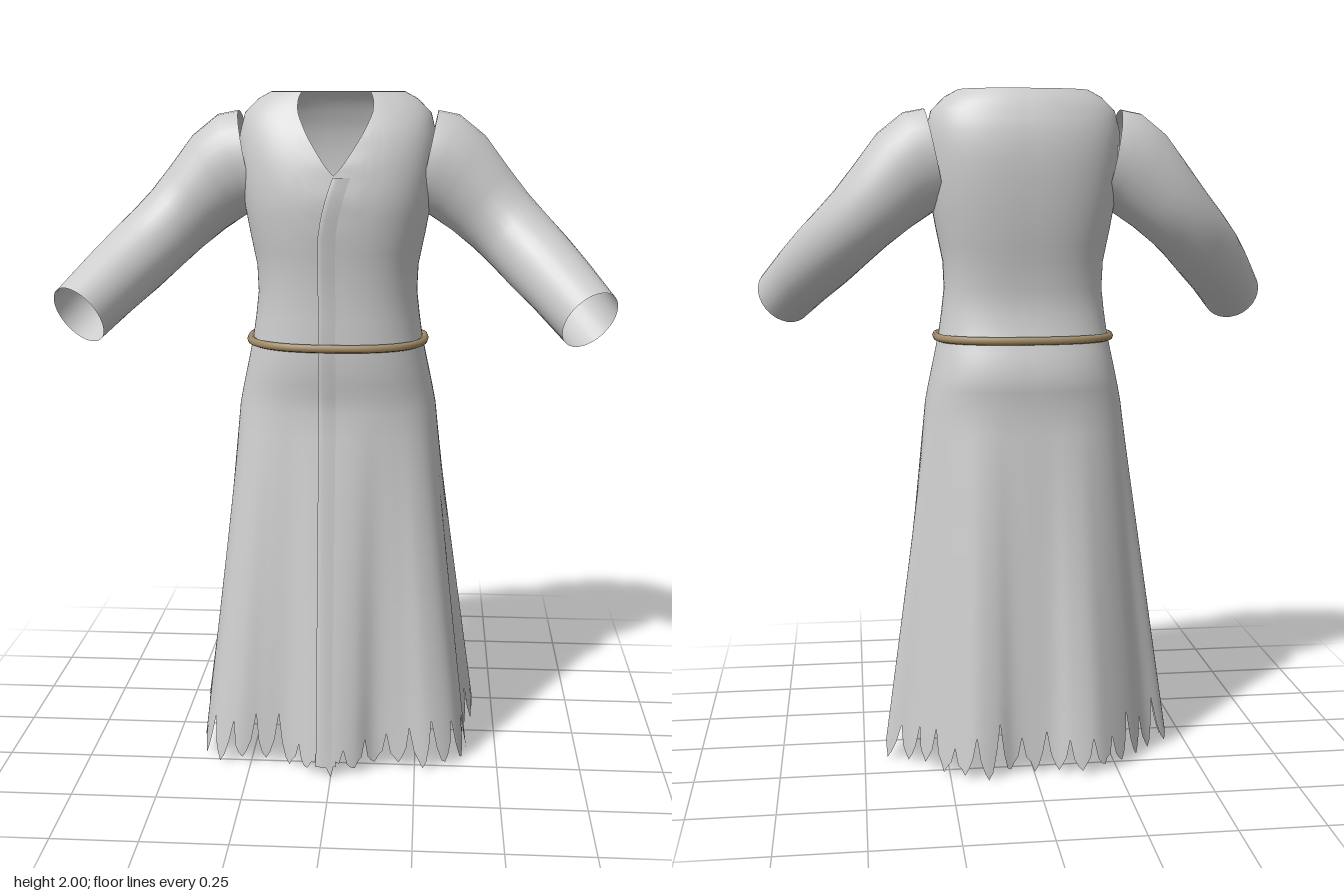
import * as THREE from 'three';

const N = 216; // columns around the body

// Body sections: y, half width, front z, back z
const SECTIONS = [
  [0, 0.44, 0.345, -0.34], [1.0, 0.31, 0.19, -0.205], [1.08, 0.297, 0.185, -0.203],
  [1.13, 0.287, 0.188, -0.212], [1.2, 0.272, 0.197, -0.206], [1.28, 0.255, 0.2, -0.18],
  [1.35, 0.245, 0.197, -0.16], [1.42, 0.237, 0.196, -0.158], [1.5, 0.24, 0.2, -0.168],
  [1.6, 0.26, 0.212, -0.184], [1.7, 0.278, 0.217, -0.194], [1.8, 0.287, 0.2, -0.197],
  [1.88, 0.287, 0.17, -0.188], [1.94, 0.272, 0.132, -0.168], [1.98, 0.232, 0.106, -0.148],
  [2.0, 0.195, 0.09, -0.13],
];

// Wavy hem outline, +x half from front to back
const HEM = [
  [0, 0.345], [0.07, 0.33], [0.13, 0.285], [0.22, 0.28], [0.3, 0.285], [0.38, 0.24], [0.41, 0.15],
  [0.4, 0.08], [0.41, 0], [0.425, -0.06], [0.44, -0.13], [0.37, -0.18], [0.31, -0.25],
  [0.24, -0.31], [0.18, -0.345], [0.11, -0.34], [0.06, -0.315], [0, -0.31],
];
const hemLoop = [...HEM, ...HEM.slice(1, -1).reverse().map(([x, z]) => [-x, z])];
const hemCurve = new THREE.CatmullRomCurve3(hemLoop.map(([x, z]) => new THREE.Vector3(x, 0, z)), true);
const hemPoints = hemCurve.getSpacedPoints(N);

function section(y) {
  let k = 0;
  while (k < SECTIONS.length - 2 && y > SECTIONS[k + 1][0]) k++;
  const a = SECTIONS[k], b = SECTIONS[k + 1];
  const t = (y - a[0]) / (b[0] - a[0]);
  return a.map((v, i) => v + (b[i] - v) * t);
}

// Point on the robe; c is a column number from the front centre towards +x
function robePoint(c, y) {
  const [, w, zf, zb] = section(y);
  const col = ((c % N) + N) % N;
  const th = (col / N) * Math.PI * 2, s = Math.sin(th), co = Math.cos(th);
  const mid = -0.01;
  const x = w * Math.sign(s) * Math.abs(s) ** 0.8;
  const z = mid + (co > 0 ? zf - mid : zb - mid) * Math.sign(co) * Math.abs(co) ** 0.8
    * (co > 0 ? 1 : -1);
  const p = new THREE.Vector3(x, y, z);
  const fold = Math.max(0, (1.08 - y) / 1.08);
  if (fold > 0) {
    // Blend from the hip section to the folded hem
    const hip = robePoint(c, 1.08);
    const i = Math.floor(col);
    const h = hemPoints[i].clone().lerp(hemPoints[i + 1], col - i);
    p.set(hip.x + (h.x - hip.x) * fold, y, hip.z + (h.z - hip.z) * fold);
  }
  return p;
}

// Surface from rows of points, optionally closed around, with a test for holes
function loft(rows, { closed = true, flip = false, skip = () => false } = {}) {
  const n = rows[0].length, pos = [], idx = [];
  rows.forEach(r => r.forEach(p => pos.push(p.x, p.y, p.z)));
  for (let j = 0; j < rows.length - 1; j++) {
    for (let i = 0; i < (closed ? n : n - 1); i++) {
      const i2 = (i + 1) % n;
      if (skip(rows[j][i], rows[j + 1][i2])) continue;
      const a = j * n + i, b = j * n + i2, c = a + n, d = b + n;
      if (flip) idx.push(a, c, b, b, c, d);
      else idx.push(a, b, c, b, d, c);
    }
  }
  const g = new THREE.BufferGeometry();
  g.setAttribute('position', new THREE.Float32BufferAttribute(pos, 3));
  g.setIndex(idx);
  g.computeVertexNormals();
  return g;
}

// Ragged hem heights: a narrow tear every six columns
function hemHeights() {
  let seed = 7;
  const rnd = () => (seed = (seed * 16807) % 2147483647) / 2147483647;
  const out = [];
  for (let t = 0; t < N / 6; t++) {
    const h = 0.08 + rnd() * 0.09, base = rnd() * 0.03;
    out.push(base, base + 0.02, h * 0.5, h, h * 0.45, 0.02 + rnd() * 0.02);
  }
  out[0] = 0;
  return out;
}

function robeGeometry() {
  const hem = hemHeights();
  const heights = [0, 0.08, 0.16, 0.25, 0.45, 0.65, 0.85, 1.0, 1.08, 1.13, 1.165, 1.2, 1.24, 1.28, 1.35,
    1.42, 1.5, 1.55, 1.6, 1.65, 1.7, 1.75, 1.8, 1.84, 1.88, 1.91, 1.94, 1.96, 1.98, 2.0];
  const rows = heights.map(y => Array.from({ length: N }, (_, i) => {
    let yy = y;
    if (y < 0.25) yy = hem[i] + (0.25 - hem[i]) * (y / 0.25);
    if (y > 1.6) {
      // V neck at the front
      const th = (i / N) * Math.PI * 2;
      const s = Math.abs(Math.sin(th)) ** 0.8;
      const top = Math.cos(th) > 0 ? 1.77 + 0.23 * Math.min(1, s / 0.5) ** 1.2 : 2;
      yy = 1.6 + (top - 1.6) * (y - 1.6) / 0.4;
    }
    return robePoint(i, yy);
  }));
  // Arm holes
  const skip = (p, q) => [p, q].every(v => Math.abs(v.x) > 0.23
    && ((v.y - 1.79) / 0.11) ** 2 + ((v.z + 0.012) / 0.09) ** 2 < 1);
  return loft(rows, { skip });
}

// Raised edge of the wrapped front, running from the neck to the hem
function overlapGeometry() {
  const columnAt = (x, y) => {
    let lo = -20, hi = 20;
    for (let k = 0; k < 24; k++) {
      const m = (lo + hi) / 2;
      if (robePoint(m, y).x < x) lo = m; else hi = m;
    }
    return lo;
  };
  const rows = [0.03, 0.3, 0.6, 0.85, 1.0, 1.08, 1.13, 1.2, 1.28, 1.35, 1.42, 1.5, 1.6, 1.65, 1.7, 1.74, 1.765]
    .map(y => {
      const edge = -0.045 * (1 - THREE.MathUtils.clamp((y - 1.58) / 0.19, 0, 1) ** 1.6);
      return [0, 0, 0.015, 0.035, 0.06].map((dx, i) => {
        const p = robePoint(columnAt(edge + dx, y), y);
        p.z += [-0.002, 0.007, 0.006, 0.003, -0.002][i];
        return p;
      });
    });
  return loft(rows, { closed: false });
}

// Sleeve stations: centre, direction, radius up, radius across
const SLEEVE = [
  [[0.262, 1.8, -0.012], [0.97, -0.2, 0], 0.15, 0.12],
  [[0.3, 1.793, -0.012], [0.92, -0.35, 0], 0.152, 0.121],
  [[0.35, 1.76, -0.012], [0.82, -0.57, 0], 0.14, 0.119],
  [[0.42, 1.69, -0.01], [0.74, -0.67, 0.08], 0.122, 0.112],
  [[0.48, 1.63, 0.005], [0.7, -0.64, 0.25], 0.112, 0.108],
  [[0.535, 1.575, 0.038], [0.62, -0.57, 0.5], 0.108, 0.108],
  [[0.59, 1.52, 0.09], [0.54, -0.5, 0.67], 0.106, 0.106],
  [[0.65, 1.46, 0.17], [0.5, -0.46, 0.71], 0.1, 0.1],
  [[0.722, 1.382, 0.28], [0.52, -0.46, 0.7], 0.092, 0.094],
];

function sleeveGeometry(side) {
  const up = new THREE.Vector3(0, 1, 0);
  const rows = SLEEVE.map(([c, d, ru, ra]) => {
    const n = new THREE.Vector3(...d).normalize();
    const across = new THREE.Vector3().crossVectors(n, up).normalize();
    const lift = new THREE.Vector3().crossVectors(across, n);
    return Array.from({ length: 28 }, (_, i) => {
      const a = (i / 28) * Math.PI * 2;
      const p = new THREE.Vector3(...c).addScaledVector(lift, ru * Math.cos(a))
        .addScaledVector(across, ra * Math.sin(a));
      p.x *= side;
      return p;
    });
  });
  return loft(rows, { flip: side < 0 });
}

// Cord belt around the waist
function beltGeometry() {
  const pts = Array.from({ length: 48 }, (_, i) => {
    const p = robePoint((i * N) / 48, 1.278);
    p.x *= 1.02;
    p.z += p.z > 0 ? 0.008 : -0.008 * Math.min(1, -p.z / 0.1);
    return p;
  });
  return new THREE.TubeGeometry(new THREE.CatmullRomCurve3(pts, true), 120, 0.012, 8, true);
}

export function createModel() {
  const cloth = new THREE.MeshStandardMaterial({ color: 0xcccccc, side: THREE.DoubleSide });
  cloth.name = 'grey cloth';
  const cord = new THREE.MeshStandardMaterial({ color: 0xa08a66 });
  cord.name = 'tan cord';

  const model = new THREE.Group();
  model.name = 'robe';
  const add = (name, geometry, material) => {
    const m = new THREE.Mesh(geometry, material);
    m.name = name;
    model.add(m);
  };
  add('robeBody', robeGeometry(), cloth);
  add('frontOverlap', overlapGeometry(), cloth);
  add('leftSleeve', sleeveGeometry(1), cloth);
  add('rightSleeve', sleeveGeometry(-1), cloth);
  add('belt', beltGeometry(), cord);
  return model;
}
